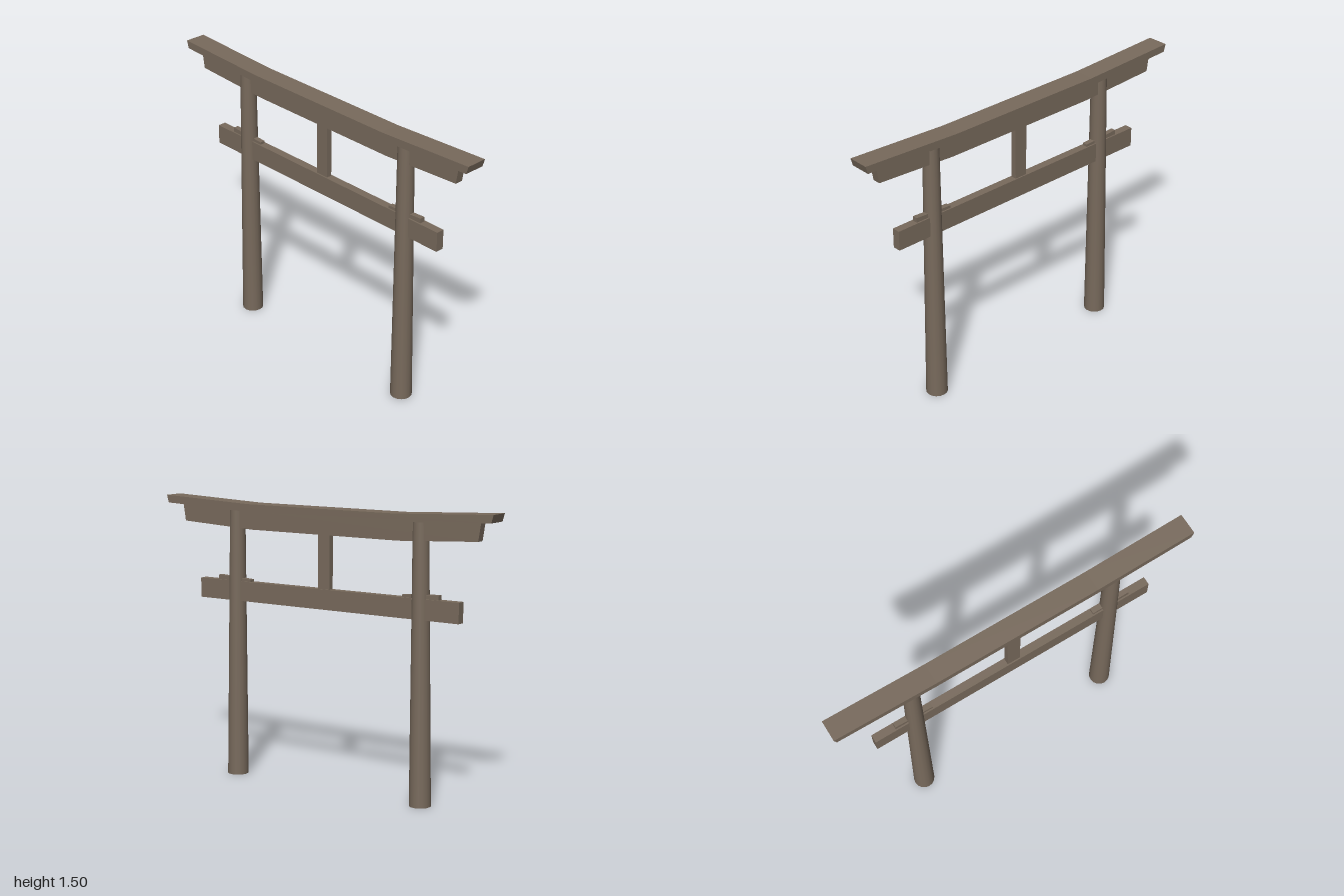
import * as THREE from 'three';

export function createModel() {
  const gate = new THREE.Group();
  gate.name = 'gate';
  const wood = new THREE.MeshStandardMaterial({ color: 0x786a5c });
  wood.name = 'weathered wood';
  wood.side = THREE.DoubleSide; // pillars are open tubes

  function add(name, geometry) {
    const mesh = new THREE.Mesh(geometry, wood);
    mesh.name = name;
    gate.add(mesh);
    return mesh;
  }

  // Front outline extruded between two z values
  function slab(name, points, zBack, zFront) {
    const shape = new THREE.Shape(points.map(([x, y]) => new THREE.Vector2(x, y)));
    const geometry = new THREE.ExtrudeGeometry(shape, { depth: zFront - zBack, bevelEnabled: false });
    return add(name, geometry.translate(0, 0, zBack));
  }

  // Beam outline from its right half, mirrored: bottom points then top points
  function beam(name, half, zBack, zFront) {
    const mirrored = half.map(([x, y]) => [-x, y]).reverse();
    return slab(name, [...half, ...mirrored], zBack, zFront);
  }

  // Upswept top beam and the narrower beam beneath it
  beam('topBeam', [[0.45, 1.434], [0.988, 1.457], [1, 1.498], [0.45, 1.475]], -0.059, 0.053);
  beam('underBeam', [[0.45, 1.338], [0.9, 1.361], [0.915, 1.455], [0.45, 1.436]], -0.023, 0.02);

  // Straight tie beam and centre strut
  add('tieBeam', new THREE.BoxGeometry(1.6, 0.105, 0.044)).position.set(0, 1.0055, -0.001);
  add('centreStrut', new THREE.BoxGeometry(0.072, 0.282, 0.03)).position.set(0, 1.198, -0.001);

  for (const [side, s] of [['left', 1], ['right', -1]]) {
    // Tapered pillar leaning inward
    const pillar = new THREE.CylinderGeometry(0.041, 0.0565, 1.437, 16, 1, true);
    pillar.translate(0, 1.437 / 2, 0);
    pillar.applyMatrix4(new THREE.Matrix4().makeShear(0, 0, -s * 0.0085, 0.0012, 0, 0));
    add(side + 'Pillar', pillar).position.set(s * 0.578, 0, 0.0015);

    // Wedge driven through the pillar above the tie beam
    const wedge = [[0.47, 1.056], [0.682, 1.056], [0.682, 1.083], [0.47, 1.071]];
    slab(side + 'Wedge', wedge.map(([x, y]) => [s * x, y]), -0.015, 0.013);
  }
  return gate;
}
